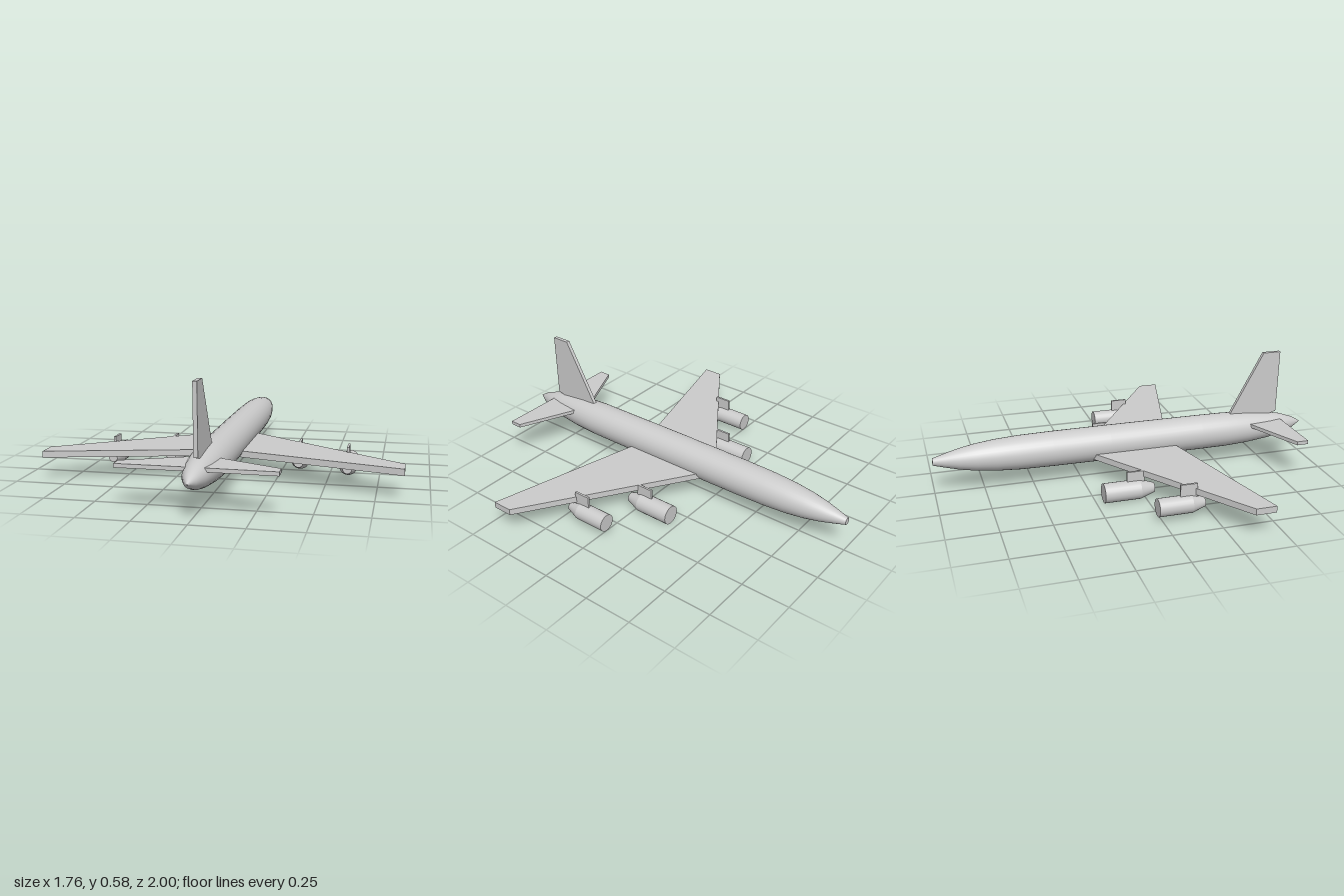
import * as THREE from 'three';

const material = new THREE.MeshStandardMaterial({ color: 0xcccccc });
const flat = new THREE.MeshStandardMaterial({ color: 0xcccccc, flatShading: true });

function addMesh(parent, name, geometry, mat = material) {
  const mesh = new THREE.Mesh(geometry, mat);
  mesh.name = name;
  parent.add(mesh);
  return mesh;
}

// Slab with an outline of [x, z] points, lying flat between two heights
function flatSlab(points, bottom, top) {
  const shape = new THREE.Shape(points.map(([x, z]) => new THREE.Vector2(x, z)));
  const geometry = new THREE.ExtrudeGeometry(shape, { depth: top - bottom, bevelEnabled: false });
  return geometry.rotateX(Math.PI / 2).translate(0, top, 0);
}

// Body of revolution along z from [radius, z] points
function turned(points, segments) {
  const profile = points.map(([r, z]) => new THREE.Vector2(r, z));
  return new THREE.LatheGeometry(profile, segments).rotateX(Math.PI / 2);
}

// Nacelle with closed intake, tapered exhaust and pylon
function makeEngine(name, x, y, front, radius, pylon) {
  const engine = new THREE.Group();
  engine.name = name;
  const length = radius * 3.75, taper = radius * 1.5;
  const shell = addMesh(engine, 'nacelle', turned([[radius, 0], [radius, length]], 24));
  const exhaust = addMesh(engine, 'exhaust', turned([[radius, length], [radius * 0.5, length + taper]], 24));
  const intake = addMesh(engine, 'intakeCap', new THREE.CircleGeometry(radius, 24).rotateY(Math.PI));
  const end = addMesh(engine, 'exhaustCap', new THREE.CircleGeometry(radius * 0.5, 24).translate(0, 0, length + taper));
  for (const part of [shell, exhaust, intake, end]) part.position.set(x, y, front);

  const base = y + radius * 0.7;
  const strut = addMesh(engine, 'pylon', new THREE.BoxGeometry(0.011, pylon.top - base, pylon.back - pylon.front), flat);
  strut.position.set(x, (pylon.top + base) / 2, (pylon.front + pylon.back) / 2);
  return engine;
}

export function createModel() {
  const plane = new THREE.Group();
  plane.name = 'airplane';

  // Fuselage, nose towards -z
  const fuselage = new THREE.Group();
  fuselage.name = 'fuselage';
  fuselage.position.y = 0.177;
  plane.add(fuselage);
  addMesh(fuselage, 'hull', turned([
    [0.018, -1], [0.035, -0.94], [0.053, -0.87], [0.068, -0.79], [0.08, -0.69], [0.087, -0.57],
    [0.09, -0.4], [0.091, -0.1], [0.091, 0.4], [0.09, 0.55], [0.084, 0.67], [0.07, 0.8],
    [0.055, 0.88], [0.03, 0.95], [0.001, 1],
  ], 32));
  addMesh(fuselage, 'noseCap', new THREE.CircleGeometry(0.018, 32).rotateY(Math.PI).translate(0, 0, -1));

  // Swept wings and tailplanes, each one slab through the hull
  const mirrored = (half) => [...half, ...half.slice().reverse().map(([x, z]) => [-x, z])];
  addMesh(plane, 'wings', flatSlab(mirrored([[0.07, -0.195], [0.88, 0.35], [0.88, 0.452], [0.07, 0.245]]), 0.12, 0.152), flat);
  addMesh(plane, 'tailplanes', flatSlab(mirrored([[0.05, 0.665], [0.366, 0.805], [0.366, 0.865], [0.04, 0.863]]), 0.199, 0.218), flat);

  // Vertical fin
  const finShape = new THREE.Shape([[-0.855, 0.59], [-0.76, 0.59], [-0.58, 0.262], [-0.58, 0.245], [-0.75, 0.23], [-0.847, 0.255]]
    .map(([z, y]) => new THREE.Vector2(z, y)));
  addMesh(plane, 'fin', new THREE.ExtrudeGeometry(finShape, { depth: 0.02, bevelEnabled: false })
    .rotateY(Math.PI / 2).translate(-0.01, 0, 0), flat);

  // Two engines under each wing
  for (const [side, s] of [['left', 1], ['right', -1]]) {
    plane.add(makeEngine(side + 'InnerEngine', s * 0.338, 0.054, -0.214, 0.049, { front: -0.095, back: -0.005, top: 0.152 }));
    plane.add(makeEngine(side + 'OuterEngine', s * 0.6, 0.075, -0.023, 0.0445, { front: 0.088, back: 0.173, top: 0.178 }));
  }
  return plane;
}
